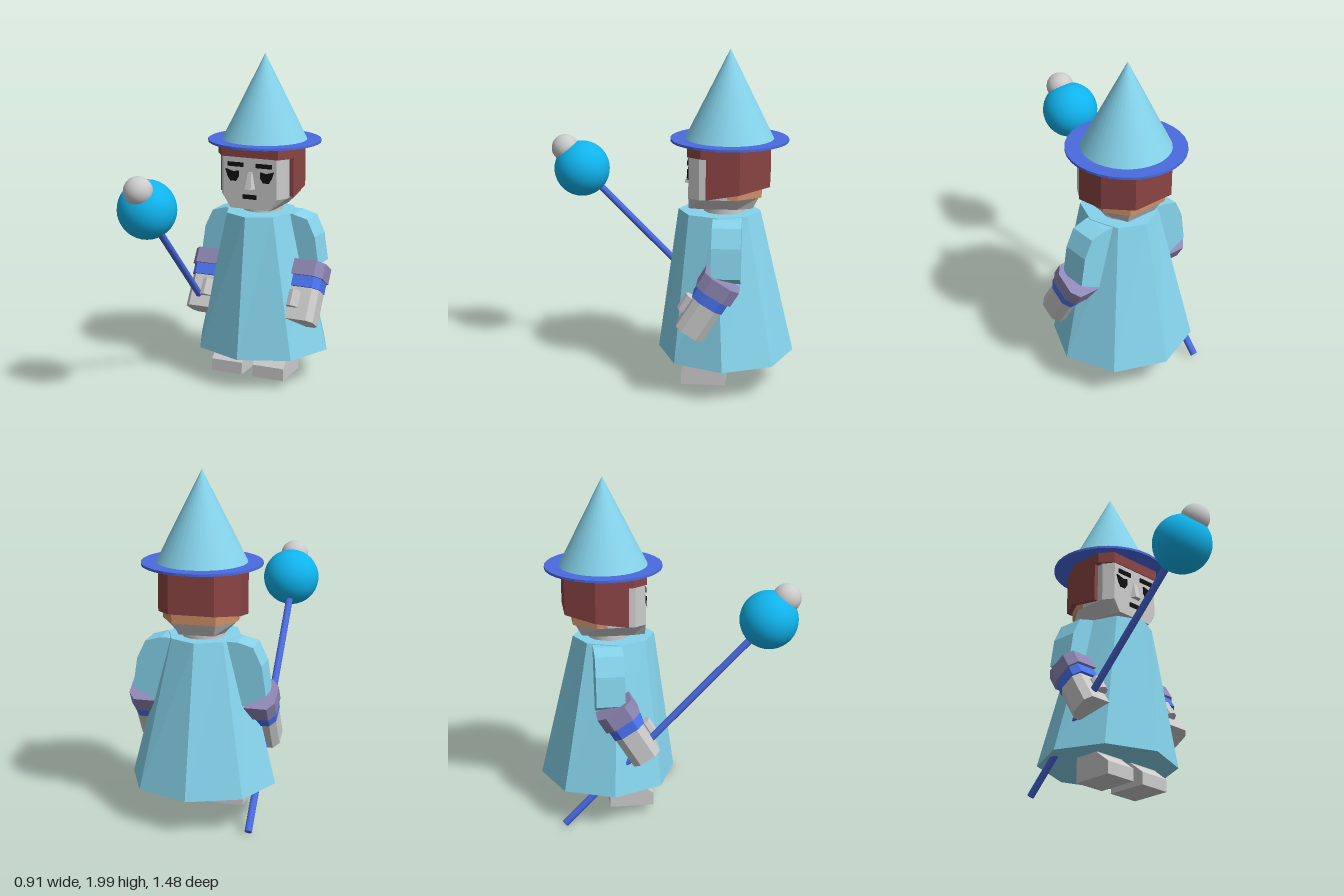
import * as THREE from 'three';

const mat = (color, flatShading = true) =>
  new THREE.MeshStandardMaterial({ color, flatShading, side: THREE.DoubleSide });
const GREY = mat(0xcccccc), ROBE = mat(0x86d4ec), BLUE = mat(0x4a6be0), WRIST = mat(0x4a74f0);
const HAIR = mat(0x8b4444), PURPLE = mat(0x8f87b5), SKIN = mat(0xcf8f68), BLACK = mat(0x111111);
const SMOOTH_GREY = mat(0xcccccc, false), SMOOTH_HAT = mat(0x86d4ec, false);
const SMOOTH_ORB = mat(0x10b4ee, false), SMOOTH_BLUE = mat(0x4a6be0, false);

function add(parent, name, geometry, material, x = 0, y = 0, z = 0) {
  const mesh = new THREE.Mesh(geometry, material);
  mesh.name = name;
  mesh.position.set(x, y, z);
  parent.add(mesh);
  return mesh;
}

// Solid skin through rings of points, listed bottom to top, anticlockwise from above
function loft(rings) {
  const out = [], n = rings[0].length;
  const tri = (...pts) => pts.forEach((p) => out.push(...p));
  for (let r = 0; r + 1 < rings.length; r++) {
    const a = rings[r], b = rings[r + 1];
    for (let i = 0; i < n; i++) {
      const j = (i + 1) % n;
      tri(a[i], a[j], b[j]);
      tri(a[i], b[j], b[i]);
    }
  }
  const low = rings[0], top = rings[rings.length - 1];
  for (let i = 1; i + 1 < n; i++) {
    tri(low[0], low[i + 1], low[i]);
    tri(top[0], top[i], top[i + 1]);
  }
  const g = new THREE.BufferGeometry();
  g.setAttribute('position', new THREE.Float32BufferAttribute(out, 3));
  g.computeVertexNormals();
  return g;
}

// Symmetric ring from its +x half [x, z], front to back; y is a number or a function of z
function ring(half, y) {
  const all = [...half, ...half.slice().reverse().map(([x, z]) => [-x, z])];
  return all.map(([x, z]) => [x, typeof y === 'function' ? y(z) : y, z]);
}

function octagon(rx, rz, y, cz) {
  return Array.from({ length: 8 }, (_, i) => {
    const t = (i * Math.PI) / 4;
    return [rx * Math.cos(t), y, cz - rz * Math.sin(t)];
  });
}

const shapeOf = (pts) => new THREE.Shape(pts.map(([x, y]) => new THREE.Vector2(x, y)));
const extrude = (pts, depth) =>
  new THREE.ExtrudeGeometry(shapeOf(pts), { depth, bevelEnabled: false });

// Upright block with cut corners on its outer side
function armBlock(side, w, d, h) {
  const x = (w / 2) * side, z = d / 2;
  const pts = [[-x, -z], [x * 0.6, -z], [x, -z * 0.55], [x, z * 0.55], [x * 0.6, z], [-x, z]];
  return extrude(pts, h).rotateX(-Math.PI / 2);
}

function makeArm(side) {
  const arm = new THREE.Group();
  arm.name = side > 0 ? 'leftArm' : 'rightArm';
  const outline = [[0.13, 1.06], [0.22, 1.06], [0.31, 1.035], [0.36, 0.93], [0.385, 0.76], [0.23, 0.68]];
  add(arm, 'sleeve', extrude(outline.map(([x, y]) => [x * side, y]), 0.165), ROBE, 0, 0, -0.435);
  // Cuff, wrist and hand tilt forward together
  const forearm = new THREE.Group();
  forearm.name = 'forearm';
  forearm.position.set(0.328 * side, 0.7, -0.31);
  forearm.rotation.x = -0.55;
  add(forearm, 'cuff', armBlock(side, 0.195, 0.225, 0.095), PURPLE, 0, -0.047, 0);
  add(forearm, 'wrist', armBlock(side, 0.165, 0.195, 0.08), WRIST, 0.006 * side, -0.115, 0);
  add(forearm, 'hand', armBlock(side, 0.165, 0.175, 0.215), GREY, 0.004 * side, -0.315, -0.005);
  add(forearm, 'thumb', new THREE.CylinderGeometry(0.037, 0.037, 0.1, 8), GREY, -0.045 * side, -0.195, 0.09);
  arm.add(forearm);
  return arm;
}

function makeHead() {
  const head = new THREE.Group();
  head.name = 'head';
  add(head, 'neck', new THREE.CylinderGeometry(0.122, 0.122, 0.1, 16), SMOOTH_GREY, 0, 1.09, -0.325);

  // Faceted skull with a tapered jaw
  const jaw = [[0.125, -0.127], [0.14, -0.2], [0.14, -0.4], [0.1, -0.49]];
  const cheek = [[0.17, -0.127], [0.21, -0.19], [0.21, -0.4], [0.12, -0.525]];
  add(head, 'skull', loft([ring(jaw, 1.1), ring(cheek, 1.17), ring(cheek, 1.47)]), GREY);
  const nape = [[0.213, -0.35], [0.213, -0.41], [0.125, -0.54]];
  add(head, 'nape', loft([ring(nape, 1.172), ring(nape, 1.4)]), SKIN);

  // Hair: low at the sides, higher at the back, with a fringe over the forehead
  const bob = [[0.236, -0.23], [0.236, -0.42], [0.13, -0.587]];
  const hem = (z) => 1.175 + (-0.23 - z) * 0.17;
  add(head, 'hair', loft([ring(bob, hem), ring(bob, 1.475)]), HAIR);
  const fringe = [[0.18, -0.121], [0.236, -0.2], [0.236, -0.26]];
  add(head, 'fringe', loft([ring(fringe, 1.41), ring(fringe, 1.475)]), HAIR);

  // Face
  const nose = [
    [[0.035, 1.235, -0.12], [0.018, 1.235, -0.13], [-0.018, 1.235, -0.13], [-0.035, 1.235, -0.12]],
  ];
  nose[0] = [[0.02, 1.225, -0.095], [0.036, 1.225, -0.13], [-0.036, 1.225, -0.13], [-0.02, 1.225, -0.095]];
  nose[1] = [[0.012, 1.325, -0.122], [0.018, 1.325, -0.13], [-0.018, 1.325, -0.13], [-0.012, 1.325, -0.122]];
  add(head, 'nose', loft(nose), GREY);
  add(head, 'mouth', new THREE.BoxGeometry(0.085, 0.026, 0.012), BLACK, 0, 1.175, -0.125);
  for (const s of [-1, 1]) {
    const eye = [[-0.036, 0.03], [0.0, 0.022], [0.05, 0.036], [0.036, -0.005], [0.018, -0.034], [-0.018, -0.034], [-0.034, -0.008]];
    add(head, 'eye', extrude(eye.map(([x, y]) => [x * s, y]), 0.012), BLACK, 0.105 * s, 1.3, -0.13);
    add(head, 'eyebrow', new THREE.BoxGeometry(0.1, 0.025, 0.014), BLACK, 0.09 * s, 1.366, -0.125);
  }
  return head;
}

function makeHat() {
  const hat = new THREE.Group();
  hat.name = 'hat';
  add(hat, 'hatCone', new THREE.ConeGeometry(0.255, 0.51, 32), SMOOTH_HAT, 0, 1.745, -0.35);
  add(hat, 'hatBrim', new THREE.CylinderGeometry(0.34, 0.34, 0.014, 32), BLUE, 0, 1.483, -0.35);
  return hat;
}

function makeStaff() {
  const staff = new THREE.Group();
  staff.name = 'staff';
  const low = new THREE.Vector3(-0.305, 0.027, -0.625), high = new THREE.Vector3(-0.305, 1.215, 0.555);
  const dir = high.clone().sub(low);
  const mid = low.clone().add(high).multiplyScalar(0.5);
  const rod = add(staff, 'staffRod', new THREE.CylinderGeometry(0.021, 0.021, dir.length(), 12), SMOOTH_BLUE, mid.x, mid.y, mid.z);
  rod.quaternion.setFromUnitVectors(new THREE.Vector3(0, 1, 0), dir.normalize());
  add(staff, 'orb', new THREE.SphereGeometry(0.168, 32, 20), SMOOTH_ORB, -0.292, 1.218, 0.557);
  add(staff, 'orbTip', new THREE.SphereGeometry(0.083, 24, 16), SMOOTH_GREY, -0.292, 1.342, 0.657);
  return staff;
}

export function createModel() {
  const model = new THREE.Group();
  model.name = 'wizard';
  const figure = new THREE.Group();
  figure.name = 'figure';
  figure.position.x = 0.028;
  model.add(figure);

  // Eight-sided robe
  add(figure, 'robe', loft([octagon(0.422, 0.398, 0.215, -0.34), octagon(0.21, 0.238, 1.065, -0.296)]), ROBE);

  // Feet with sloping toes
  const foot = [[-0.095, 0.065], [-0.095, 0.14], [-0.185, 0.21], [-0.185, 0.3], [-0.35, 0.3], [-0.35, 0.065]];
  for (const s of [-1, 1]) {
    const g = extrude(foot.map(([z, y]) => [-z, y]), 0.2).rotateY(Math.PI / 2).translate(-0.1, 0, 0);
    g.translate(s * 0.136, 0, 0);
    // The extrusion runs along x and the profile already points forward
    add(figure, 'foot', g, GREY);
    figure.add(makeArm(s));
  }

  figure.add(makeHead(), makeHat());
  model.add(makeStaff());
  return model;
}
